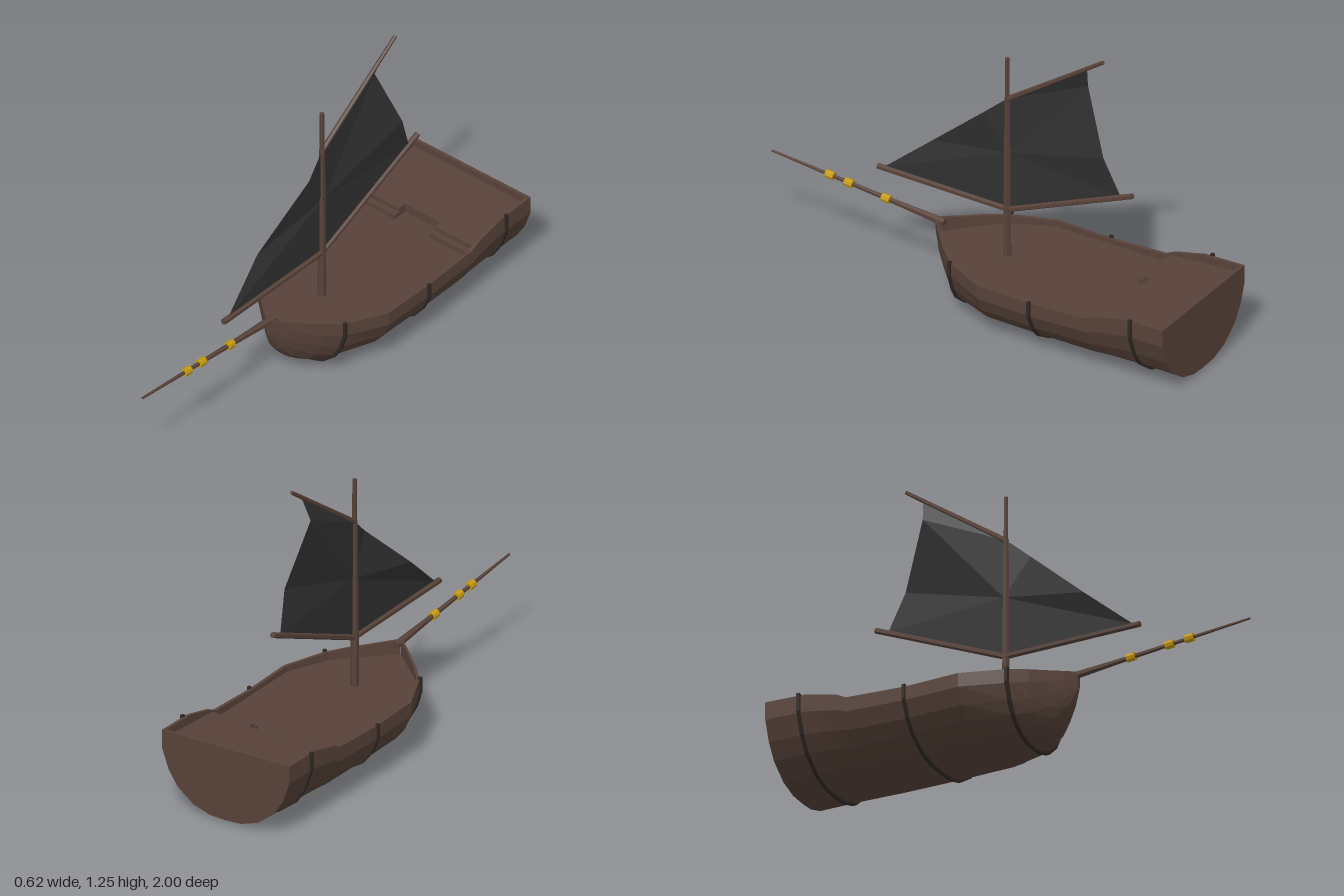
import * as THREE from 'three';

const mat = (name, color, side = THREE.FrontSide) =>
  new THREE.MeshStandardMaterial({ name, color, side, flatShading: true });

// Hull stations: z, half width, keel height, rail height
const STATIONS = [
  [-1, 0.3, 0.012, 0.325], [-0.82, 0.3, 0.012, 0.32], [-0.77, 0.3, 0.012, 0.308],
  [-0.68, 0.3, 0.012, 0.287], [-0.64, 0.3, 0.012, 0.267], [-0.38, 0.3, 0.012, 0.255],
  [-0.14, 0.3, 0.015, 0.26], [0.035, 0.222, 0.022, 0.27], [0.1, 0.165, 0.045, 0.278],
  [0.15, 0.11, 0.08, 0.285], [0.2, 0.055, 0.14, 0.293], [0.235, 0.012, 0.22, 0.3],
];
// Half cross-section from rail to keel, as fractions of width and height
const PROFILE = [[1, 1], [1, 0.76], [0.9, 0.49], [0.76, 0.28], [0.5, 0.09], [0.24, 0.01], [0, 0]];
const DECK_Y = 0.235;
const RAIL = 0.014;

// Outline from the left rail under the keel to the right rail
function section(w, keel, top) {
  const half = PROFILE.map(([u, v]) => [u * w, keel + v * (top - keel)]);
  return [...half, ...half.slice(0, -1).reverse().map(([x, y]) => [-x, y])];
}

function stationAt(z) {
  const i = Math.max(1, STATIONS.findIndex((s) => s[0] >= z));
  const a = STATIONS[i - 1], b = STATIONS[i];
  const t = (z - a[0]) / (b[0] - a[0]);
  return a.map((v, k) => v + (b[k] - v) * t);
}

const shapeOf = (pts) => new THREE.Shape(pts.map(([x, y]) => new THREE.Vector2(x, y)));
const extrude = (pts, depth) =>
  new THREE.ExtrudeGeometry(shapeOf(pts), { depth, bevelEnabled: false });

// Lofted shell: outer skin, rail tops, inner walls and main deck
function hullGeometry() {
  const pos = [], index = [];
  let n = 0;
  STATIONS.forEach(([z, w, keel, top], s) => {
    const inner = Math.max(w - RAIL, 0.002);
    const floor = Math.max(DECK_Y, keel);
    const ring = [...section(w, keel, top),
      [-inner, top], [-inner, floor], [inner, floor], [inner, top]];
    n = ring.length;
    ring.forEach(([x, y]) => pos.push(x, y, s === 0 ? -0.99 : z));
  });
  for (let s = 0; s < STATIONS.length - 1; s++) {
    for (let i = 0; i < n; i++) {
      const j = (i + 1) % n;
      const a = s * n + i, b = s * n + j, d = a + n, c = b + n;
      index.push(a, d, b, b, d, c);
    }
  }
  // Close the narrow stem
  const last = (STATIONS.length - 1) * n;
  for (let i = 1; i < n - 5; i++) index.push(last, last + i + 1, last + i);
  const g = new THREE.BufferGeometry();
  g.setAttribute('position', new THREE.Float32BufferAttribute(pos, 3));
  g.setIndex(index);
  const flat = g.toNonIndexed();
  flat.computeVertexNormals();
  return flat;
}

export function createModel() {
  const model = new THREE.Group();
  model.name = 'sailingBoat';
  const wood = mat('brown wood', 0x574239);
  const iron = mat('dark band', 0x302824);
  const cloth = mat('black sailcloth', 0x303030, THREE.DoubleSide);
  const gold = mat('gold', 0xc79a10);

  const add = (name, geometry, material, x = 0, y = 0, z = 0) => {
    const mesh = new THREE.Mesh(geometry, material);
    mesh.name = name;
    mesh.position.set(x, y, z);
    model.add(mesh);
    return mesh;
  };
  // Tapered round timber between two points on the centre plane, given as [y, z]
  const spar = (name, a, b, r0, r1, material = wood, sides = 6) => {
    const p = new THREE.Vector3(0, ...a), q = new THREE.Vector3(0, ...b);
    const dir = q.clone().sub(p);
    const m = add(name, new THREE.CylinderGeometry(r1, r0, dir.length(), sides), material);
    m.position.copy(p).add(q).multiplyScalar(0.5);
    m.quaternion.setFromUnitVectors(new THREE.Vector3(0, 1, 0), dir.normalize());
    return m;
  };

  // Hull and flat transom
  add('hull', hullGeometry(), wood);
  add('transom', extrude(section(...STATIONS[0].slice(1)), 0.015), wood, 0, 0, -1);

  // Raised stern deck with a notch in its front edge, sloping up aft
  const deck = extrude([[-0.288, 0.665], [-0.09, 0.665], [-0.09, 0.7], [0.09, 0.7],
    [0.09, 0.665], [0.288, 0.665], [0.288, 0.988], [-0.288, 0.988]], 0.04);
  deck.rotateX(-Math.PI / 2);
  const p = deck.attributes.position;
  for (let i = 0; i < p.count; i++) {
    if (p.getY(i) > 0.02) p.setY(i, p.getY(i) - (p.getZ(i) + 0.66) * 0.07);
  }
  deck.computeVertexNormals();
  add('sternDeck', deck, wood, 0, 0.232, 0);
  for (const side of [-1, 1]) {
    add('sternStep', new THREE.BoxGeometry(0.198, 0.022, 0.03), wood, side * 0.189, 0.243, -0.652);
  }

  // Bands wrapped around the hull
  for (const z of [0.035, -0.38, -0.85]) {
    const [, w, keel, top] = stationAt(z);
    const outer = section(w + 0.009, keel - 0.01, top + 0.008);
    const inner = section(w - 0.004, keel + 0.002, top + 0.008).reverse();
    add('hullBand', extrude([...outer, ...inner], 0.014), iron, 0, 0, z - 0.007);
  }

  // Mast, yard and two-piece boom
  spar('mast', [DECK_Y, -0.09], [0.95, -0.09], 0.018, 0.012);
  spar('mastTop', [0.94, -0.09], [1.13, -0.09], 0.01, 0.009);
  spar('yard', [0.94, -0.085], [1.25, -0.535], 0.011, 0.008);
  spar('boomFront', [0.45, 0.508], [0.443, -0.1], 0.013, 0.013);
  spar('boomBack', [0.441, -0.09], [0.684, -0.67], 0.012, 0.012);

  // Sail: creased cloth between yard and boom
  const sailPoints = [
    [0, 0.7, -0.1],      // centre
    [0, 0.455, 0.48], [-0.027, 0.63, 0.27], [0.018, 0.86, 0.01], [0, 0.945, -0.09],
    [-0.03, 1.1, -0.445], [0.023, 0.83, -0.55], [0, 0.665, -0.615], [0, 0.445, -0.1],
    [0, 1.19, -0.46],    // peak
  ];
  const tris = [[4, 9, 5]];
  for (let i = 1; i <= 8; i++) tris.push([0, i, (i % 8) + 1]);
  const sail = new THREE.BufferGeometry();
  sail.setAttribute('position',
    new THREE.Float32BufferAttribute(tris.flat().flatMap((i) => sailPoints[i]), 3));
  sail.computeVertexNormals();
  add('sail', sail, cloth);

  // Bowsprit with gold collars
  const along = (z) => [0.291 + (z - 0.22) * 0.094, z];
  spar('bowspritBase', along(0.2), along(0.48), 0.017, 0.01);
  spar('bowsprit', along(0.44), along(1), 0.011, 0.005);
  for (const z of [0.47, 0.642, 0.73]) {
    spar('collar', along(z - 0.018), along(z + 0.018), 0.017, 0.017, gold, 8);
  }

  return model;
}
